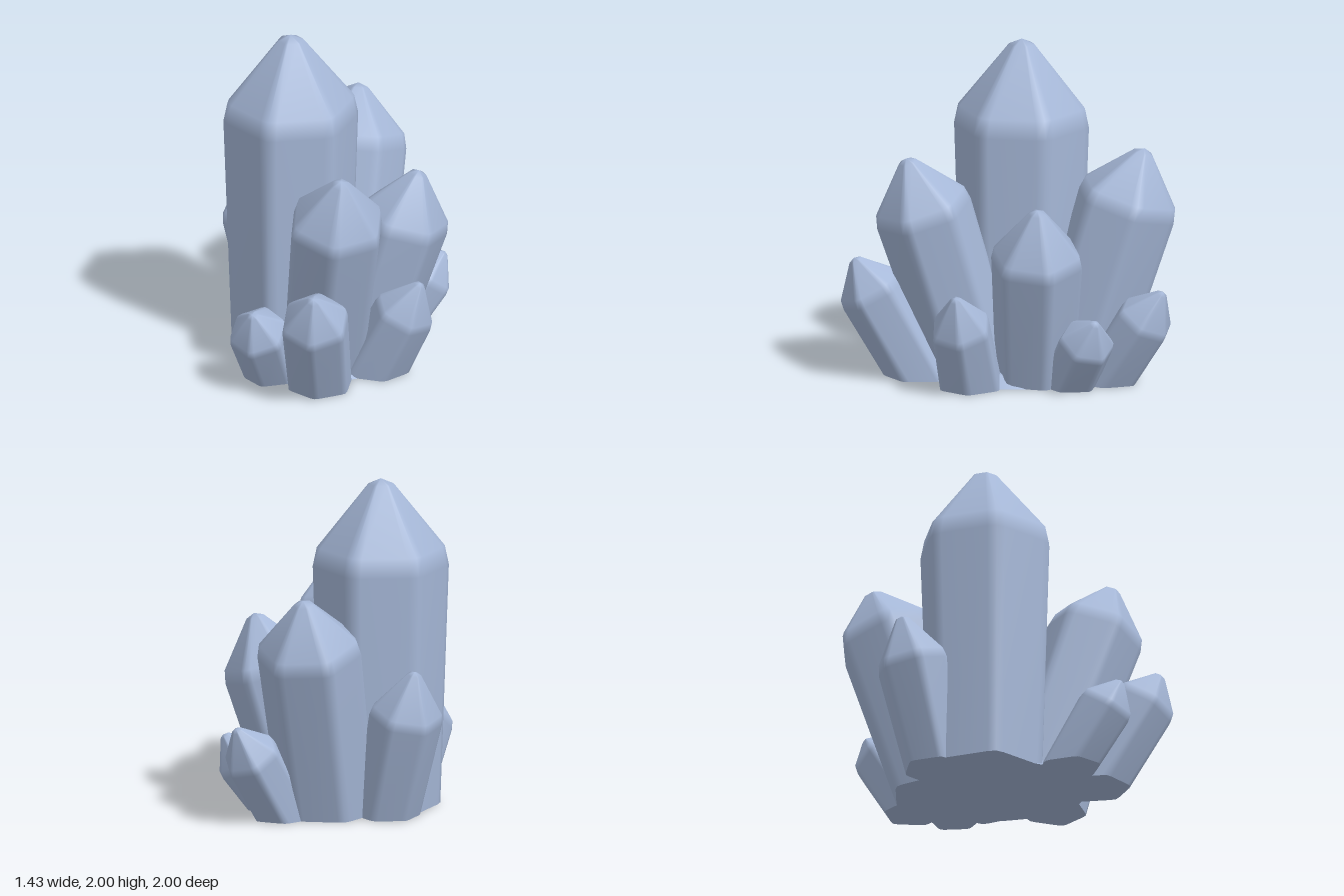
import * as THREE from 'three';

const crystalBlue = new THREE.MeshStandardMaterial({ color: 0xa6b8d8 });
crystalBlue.name = 'crystalBlue';

// name, base [x, z], tip [x, y, z], radius, base taper, shoulder fraction, corner angle in degrees
const CRYSTALS = [
  ['mainCrystal', [-0.23, -0.07], [-0.235, 2.0, -0.075], 0.415, 0.88, 0.76, 38],
  ['backCrystal', [0.0, -0.39], [0.015, 1.39, -0.815], 0.32, 0.92, 0.77, 50],
  ['frontCrystal', [0.03, 0.2], [0.23, 1.38, 0.61], 0.3, 0.9, 0.77, 22],
  ['leftCrystal', [0.2, -0.16], [0.53, 1.14, -0.18], 0.285, 0.86, 0.72, 43],
  ['rightBackCrystal', [-0.36, -0.34], [-0.59, 0.93, -0.51], 0.225, 0.88, 0.7, 40],
  ['smallFrontCrystal', [0.08, 0.52], [0.13, 0.735, 0.925], 0.213, 0.95, 0.73, 27],
  ['smallFrontRightCrystal', [-0.23, 0.44], [-0.28, 0.525, 0.77], 0.183, 0.92, 0.7, 35],
  ['smallFrontLeftCrystal', [0.34, 0.22], [0.65, 0.625, 0.31], 0.19, 1.06, 0.66, 5],
  ['smallBackLeftCrystal', [0.3, -0.36], [0.61, 0.465, -0.53], 0.172, 1.0, 0.68, 13],
  ['smallRearCrystal', [0.2, -0.58], [0.4, 0.6, -0.93], 0.18, 1.0, 0.69, 3],
];

// Hexagon outline with rounded corners: three points for each corner
function hexagonPoints(phase) {
  const points = [];
  for (let i = 0; i < 6; i++) {
    for (const [offset, radius] of [[-8, 0.95], [0, 0.985], [8, 0.95]]) {
      const a = THREE.MathUtils.degToRad(phase + i * 60 + offset);
      points.push([Math.cos(a) * radius, Math.sin(a) * radius]);
    }
  }
  return points;
}

// Leaning six-sided prism with a soft shoulder, a blunt point and a flat foot on y = 0
function crystalGeometry([, [bx, bz], tipXYZ, r, taper, shoulder, phase]) {
  const base = new THREE.Vector3(bx, 0, bz);
  const tip = new THREE.Vector3(...tipXYZ);
  const axis = tip.clone().sub(base);
  const length = axis.length();
  axis.normalize();
  const u = new THREE.Vector3(1, 0, 0).addScaledVector(axis, -axis.x).normalize();
  const w = new THREE.Vector3().crossVectors(u, axis);

  const outline = hexagonPoints(phase);
  const n = outline.length;
  const hs = shoulder * length;
  const rings = [
    [0, taper],
    [hs - 0.13 * r, 1],
    [hs + 0.15 * r, 0.94],
    [length - 0.08 * r, 0.19],
  ];
  const positions = [];
  const index = [];

  rings.forEach(([h, scale], i) => {
    for (const [c, s] of outline) {
      const p = base.clone().addScaledVector(axis, h)
        .addScaledVector(u, c * r * scale).addScaledVector(w, s * r * scale);
      if (i === 0) p.addScaledVector(axis, -p.y / axis.y);
      positions.push(p.x, p.y, p.z);
    }
  });
  for (let i = 0; i < rings.length - 1; i++) {
    for (let j = 0; j < n; j++) {
      const k = (j + 1) % n;
      const a = i * n + j, b = i * n + k, c = a + n, d = b + n;
      index.push(a, c, b, b, c, d);
    }
  }

  // Point
  const top = positions.length / 3;
  positions.push(tip.x, tip.y, tip.z);
  const last = (rings.length - 1) * n;
  for (let j = 0; j < n; j++) index.push(last + j, top, last + (j + 1) % n);

  // Foot, with its own corners so that its edge stays sharp
  const foot = positions.length / 3;
  positions.push(...positions.slice(0, n * 3), bx, 0, bz);
  for (let j = 0; j < n; j++) index.push(foot + n, foot + j, foot + (j + 1) % n);

  const geometry = new THREE.BufferGeometry();
  geometry.setAttribute('position', new THREE.Float32BufferAttribute(positions, 3));
  geometry.setIndex(index);
  geometry.computeVertexNormals();
  return geometry;
}

export function createModel() {
  const group = new THREE.Group();
  group.name = 'crystalCluster';

  for (const spec of CRYSTALS) {
    const crystal = new THREE.Mesh(crystalGeometry(spec), crystalBlue);
    crystal.name = spec[0];
    group.add(crystal);
  }

  // Low core closing the gaps between the feet
  const core = new THREE.Mesh(new THREE.CylinderGeometry(0.33, 0.41, 0.07, 18), crystalBlue);
  core.name = 'core';
  core.scale.z = 1.25;
  core.position.set(0.02, 0.035, 0);
  group.add(core);

  return group;
}
